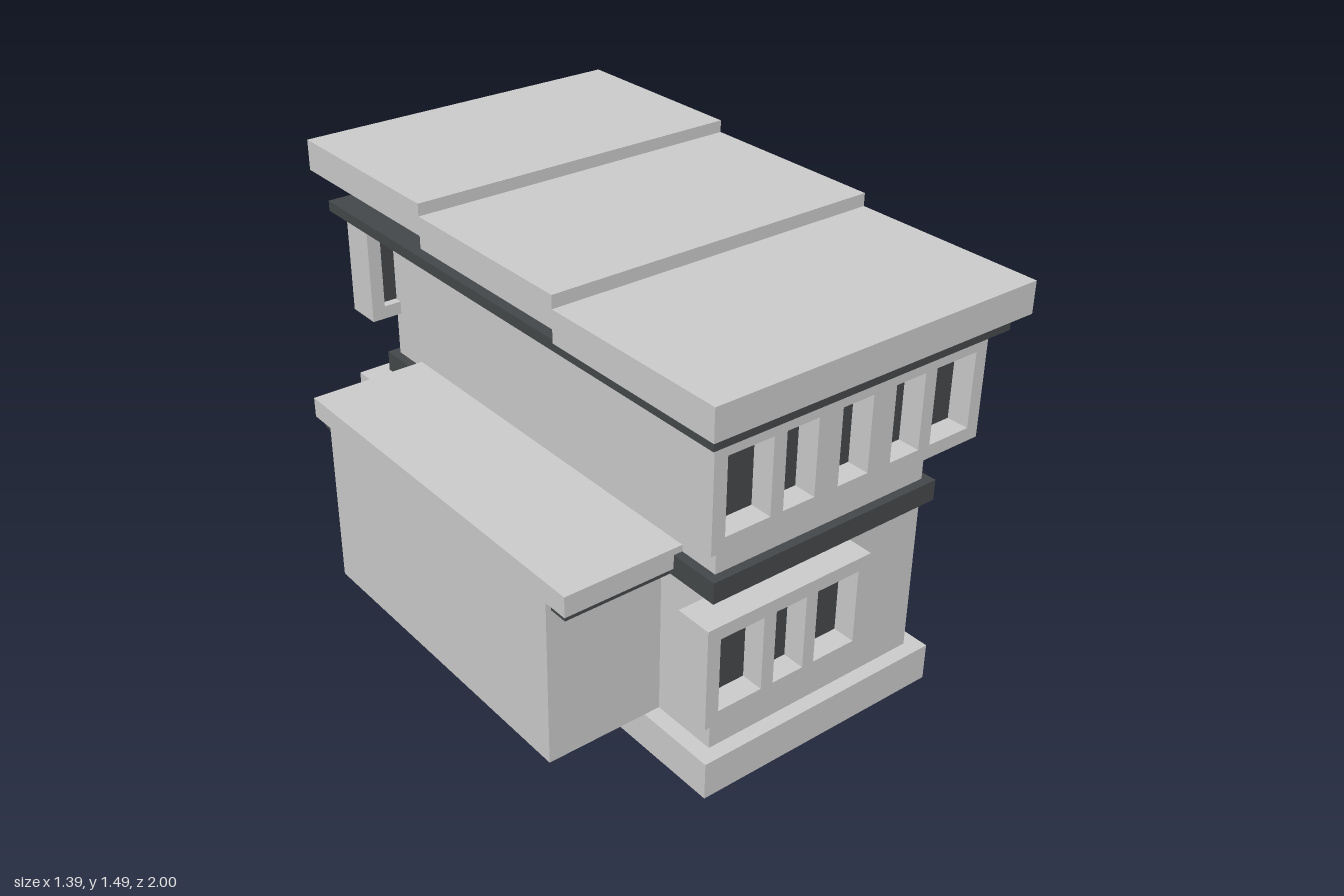
import * as THREE from 'three';

const stone = new THREE.MeshStandardMaterial({ color: 0xcccccc });
const dark = new THREE.MeshStandardMaterial({ color: 0x45484a });

// Box given by its minimum and maximum on each axis
function block(name, [x0, x1], [y0, y1], [z0, z1], material = stone) {
  const mesh = new THREE.Mesh(new THREE.BoxGeometry(x1 - x0, y1 - y0, z1 - z0), material);
  mesh.position.set((x0 + x1) / 2, (y0 + y1) / 2, (z0 + z1) / 2);
  mesh.name = name;
  return mesh;
}

function rectangle(target, [x0, x1], [y0, y1]) {
  target.moveTo(x0, y0);
  target.lineTo(x1, y0);
  target.lineTo(x1, y1);
  target.lineTo(x0, y1);
  target.closePath();
  return target;
}

// Frame with pierced openings and recessed panes; its outer face is at z = 0
function windowBay(name, width, height, openings, openingHeight) {
  const depth = 0.125, recess = 0.075;
  const bay = new THREE.Group();
  bay.name = name;
  const shape = rectangle(new THREE.Shape(), width, height);
  for (const opening of openings) {
    shape.holes.push(rectangle(new THREE.Path(), opening, openingHeight));
    bay.add(block('pane', opening, openingHeight, [-recess - 0.02, -recess], dark));
  }
  const geometry = new THREE.ExtrudeGeometry(shape, { depth, bevelEnabled: false });
  geometry.translate(0, 0, -depth);
  const frame = new THREE.Mesh(geometry, stone);
  frame.name = 'windowFrame';
  bay.add(frame);
  return bay;
}

export function createModel() {
  const model = new THREE.Group();
  model.name = 'house';

  // Main block with plinth and dark bands
  model.add(
    block('plinth', [-0.345, 0.565], [0, 0.127], [-0.87, 0.87]),
    block('walls', [-0.29, 0.515], [0.127, 1.25], [-0.82, 0.82]),
    block('middleBand', [-0.32, 0.543], [0.67, 0.74], [-0.85, 0.85], dark),
    block('eavesBand', [-0.435, 0.655], [1.247, 1.282], [-0.96, 0.96], dark),
  );

  // Stepped roof, rising toward the back
  const roofEdges = [1, 0.333, -0.333, -1];
  [1.302, 1.344, 1.384].forEach((y, i) => {
    model.add(block('roofSlab', [-0.47, 0.692], [y, y + 0.102], [roofEdges[i + 1], roofEdges[i]]));
  });

  // Low side wing
  model.add(
    block('wingWalls', [-0.692, -0.29], [0.127, 0.695], [-0.59, 0.59]),
    block('wingBand', [-0.675, -0.31], [0.66, 0.694], [-0.655, 0.655], dark),
    block('wingRoof', [-0.694, -0.29], [0.694, 0.762], [-0.68, 0.68]),
  );

  // Window bays, the same across front and back
  const shared = [[-0.35, -0.192], [-0.147, -0.033]];
  const upper = [...shared, [0.054, 0.168], [0.255, 0.369], [0.414, 0.572]];
  const lower = [...shared, [0.01, 0.168]];
  for (const side of [1, -1]) {
    const bays = [
      windowBay('upperBay', [-0.396, 0.616], [0.896, 1.233], upper, [0.94, 1.187]),
      windowBay('lowerBay', [-0.396, 0.213], [0.317, 0.654], lower, [0.361, 0.609]),
    ];
    for (const bay of bays) {
      // Shift by the frame depth, so the mirrored bay faces the back
      bay.position.z = side * 0.92;
      if (side < 0) {
        bay.children.forEach((part) => {
          if (part.name === 'pane') part.position.z *= -1;
          else part.position.z = 0.125;
        });
      }
      model.add(bay);
    }
  }

  // Tall narrow window on the side wall
  const tall = windowBay('tallSideBay', [0.189, 0.397], [0.308, 1.219], [[0.234, 0.352]], [0.355, 1.175]);
  tall.rotation.y = Math.PI / 2;
  tall.position.x = 0.615;
  model.add(tall);

  return model;
}
